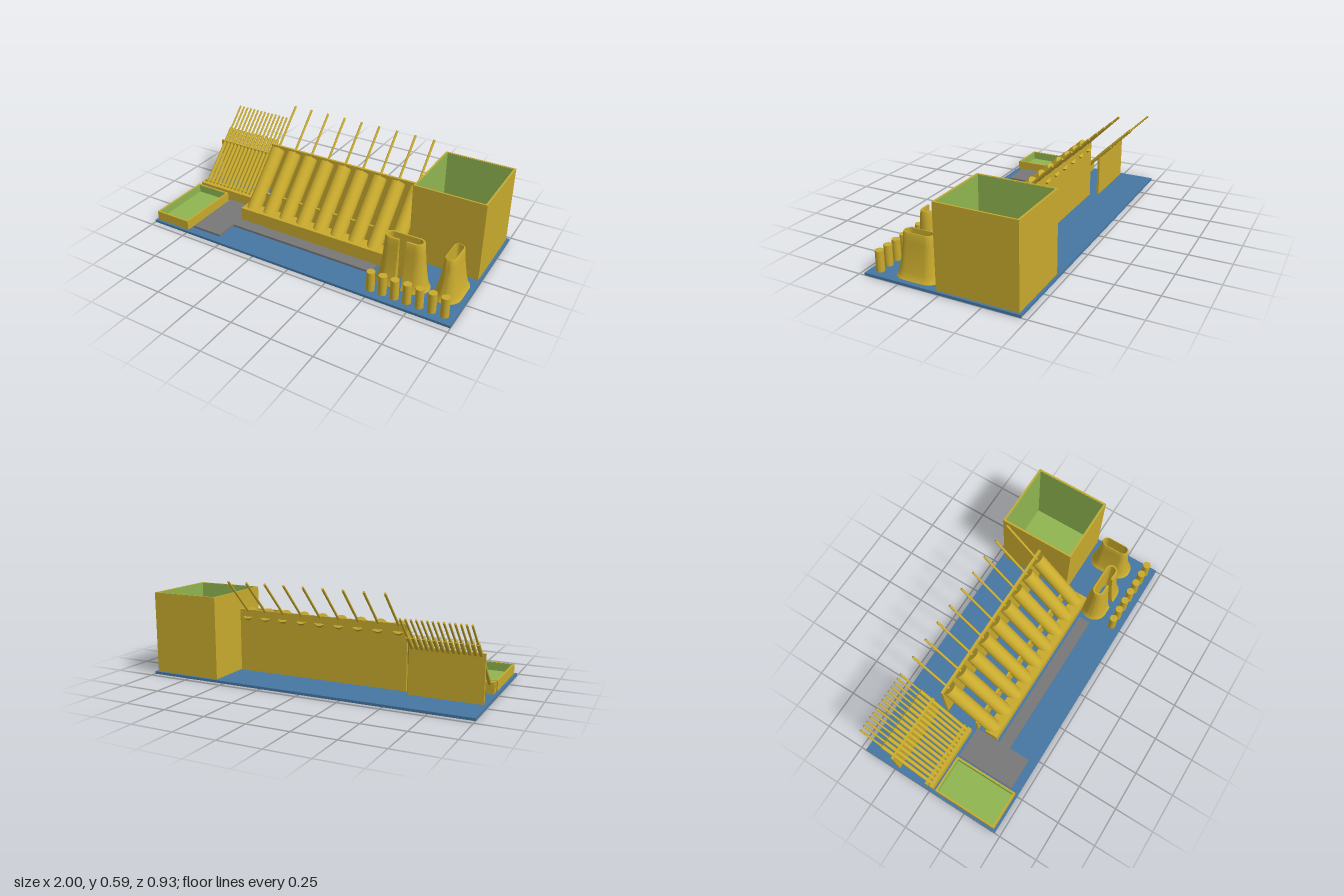
import * as THREE from 'three';
import { toCreasedNormals } from 'three/addons/utils/BufferGeometryUtils.js';

const mat = (name, color) => new THREE.MeshStandardMaterial({ name, color, side: THREE.DoubleSide });
const FLOOR = 0.015;

export function createModel() {
  const yellow = mat('mustard yellow', 0xc8aa2d);
  const green = mat('leaf green', 0x8fb550);
  const blue = mat('base blue', 0x4677a3);
  const grey = mat('mat grey', 0x787878);
  const model = new THREE.Group();
  model.name = 'toolTray';

  const add = (parent, name, geometry, material) => {
    const mesh = new THREE.Mesh(geometry, material);
    mesh.name = name;
    parent.add(mesh);
    return mesh;
  };
  const group = (name) => {
    const g = new THREE.Group();
    g.name = name;
    model.add(g);
    return g;
  };
  // box given by its limits
  const block = (parent, name, m, x0, x1, y0, y1, z0, z1) => {
    const mesh = add(parent, name, new THREE.BoxGeometry(x1 - x0, y1 - y0, z1 - z0), m);
    mesh.position.set((x0 + x1) / 2, (y0 + y1) / 2, (z0 + z1) / 2);
    return mesh;
  };

  block(model, 'basePlate', blue, -1, 1, 0, FLOOR, -0.465, 0.465);

  // grey mat: pad and strip in one outline
  const outline = [[-0.73, 0.04], [-0.53, 0.04], [-0.53, 0.2], [0.44, 0.2], [0.44, 0.275],
    [-0.53, 0.275], [-0.53, 0.412], [-0.73, 0.412]];
  const matShape = new THREE.Shape(outline.map(([x, z]) => new THREE.Vector2(x, -z)));
  const matGeo = new THREE.ExtrudeGeometry(matShape, { depth: 0.014, bevelEnabled: false });
  add(model, 'greyMat', matGeo.rotateX(-Math.PI / 2), grey).position.y = FLOOR;

  // open bins: outer wall, coloured lining and floor
  const frame = (w, d, t, h) => {
    const rect = (T, a, b) => new T([[-a, -b], [a, -b], [a, b], [-a, b]].map(([x, y]) => new THREE.Vector2(x / 2, y / 2)));
    const shape = rect(THREE.Shape, w, d);
    shape.holes.push(rect(THREE.Path, w - 2 * t, d - 2 * t));
    return new THREE.ExtrudeGeometry(shape, { depth: h, bevelEnabled: false }).rotateX(-Math.PI / 2);
  };
  const bin = (name, x0, x1, z0, z1, top) => {
    const g = group(name), w = x1 - x0, d = z1 - z0, t = 0.01, h = top - FLOOR;
    g.position.set((x0 + x1) / 2, FLOOR, (z0 + z1) / 2);
    add(g, 'binWall', frame(w, d, t, h), yellow);
    add(g, 'binLining', frame(w - 2 * t, d - 2 * t, 0.003, h - 0.002), green);
    block(g, 'binFloor', green, t - w / 2, w / 2 - t, 0, 0.009, t - d / 2, d / 2 - t);
  };
  bin('largeBin', 0.555, 0.985, -0.45, 0.025, 0.503);
  bin('smallTray', -0.985, -0.745, 0.04, 0.45, 0.075);

  // rod leaning back 45 degrees along y + z = c, between two z values
  const rod = (parent, name, x, c, zLow, zHigh, r, sides) => {
    const geo = new THREE.CylinderGeometry(r, r, (zLow - zHigh) * Math.SQRT2, sides);
    const mesh = add(parent, name, geo, yellow);
    const z = (zLow + zHigh) / 2;
    mesh.position.set(x, c - z, z);
    mesh.rotation.x = -Math.PI / 4;
  };

  // rack of nine large tools
  const large = group('largeRack');
  block(large, 'rackBack', yellow, -0.53, 0.55, FLOOR, 0.395, -0.19, -0.175);
  block(large, 'rackMiddle', yellow, -0.53, 0.55, FLOOR, 0.168, 0.033, 0.047);
  block(large, 'rackFront', yellow, -0.53, 0.55, FLOOR, 0.1, 0.1, 0.182);
  for (let i = 0; i < 9; i++) {
    const x = 0.01 + (i - 4) * 0.1217;
    rod(large, 'toolHandle', x, 0.202, 0.135, -0.17, 0.045, 40);
    rod(large, 'toolShaft', x, 0.202, -0.16, -0.388, 0.007, 16);
  }

  // rack of fourteen small tools
  const small = group('smallRack');
  block(small, 'rackBack', yellow, -0.982, -0.56, FLOOR, 0.29, -0.24, -0.225);
  block(small, 'rackMiddle', yellow, -0.982, -0.56, FLOOR, 0.08, -0.035, -0.02);
  block(small, 'rackFront', yellow, -0.982, -0.56, FLOOR, 0.078, -0.005, 0.02);
  for (let i = 0; i < 14; i++) {
    const x = -0.956 + i * 0.0293;
    rod(small, 'toolHandle', x, 0.047, 0.006, -0.307, 0.011, 20);
    rod(small, 'toolShaft', x, 0.047, -0.3, -0.425, 0.006, 12);
  }

  // flared stadium-shaped holder; an optional gap splits its front
  const holder = (name, half, base, top, inner, height, gap) => {
    const g = group(name), flare = base - top;
    const profile = [[0, 1], [0.05, 0.8], [0.15, 0.64], [0.35, 0.4], [0.6, 0.2], [0.8, 0.07], [0.96, 0]]
      .map(([t, f]) => [top + flare * f, t * height]);
    profile.push([top - 0.004, height], [inner, height], [inner, 0]);
    const path = [[gap, 0]]; // core x and angle from the front
    for (let i = 0; i <= 24; i++) path.push([half, (Math.PI * i) / 24]);
    for (let i = 0; i <= 24; i++) path.push([-half, Math.PI * (1 + i / 24)]);
    path.push([-gap, 2 * Math.PI]);
    const pos = [], index = [], n = profile.length;
    path.forEach(([x, a], j) => profile.forEach(([o, y], i) => {
      pos.push(x + o * Math.sin(a), y, o * Math.cos(a));
      if (j && i) {
        const d = j * n + i, c = d - 1, b = d - n, e = b - 1;
        index.push(e, c, d, e, d, b);
      }
    }));
    const geo = new THREE.BufferGeometry();
    geo.setAttribute('position', new THREE.Float32BufferAttribute(pos, 3));
    geo.setIndex(index);
    add(g, 'holderWall', toCreasedNormals(geo, 0.7), yellow);
    if (gap) {
      const section = new THREE.Shape(profile.map(([o, y]) => new THREE.Vector2(o, y)));
      for (const s of [-1, 1]) {
        const end = add(g, 'gapEnd', new THREE.ShapeGeometry(section), yellow);
        end.rotation.y = -Math.PI / 2;
        end.position.x = s * gap;
      }
    }
    return g;
  };
  const closed = holder('closedHolder', 0.057, 0.082, 0.034, 0.026, 0.252, 0);
  closed.position.set(0.888, FLOOR, 0.18);
  closed.rotation.y = Math.PI / 2;
  holder('splitHolder', 0.077, 0.083, 0.04, 0.026, 0.293, 0.022).position.set(0.627, FLOOR, 0.248);

  // row of small pegs
  const pegs = group('pegs');
  for (let i = 0; i < 7; i++) {
    const peg = add(pegs, 'peg', new THREE.CylinderGeometry(0.024, 0.024, 0.122, 32), yellow);
    peg.position.set(0.503 + i * 0.073, FLOOR + 0.061, 0.403);
  }
  return model;
}
